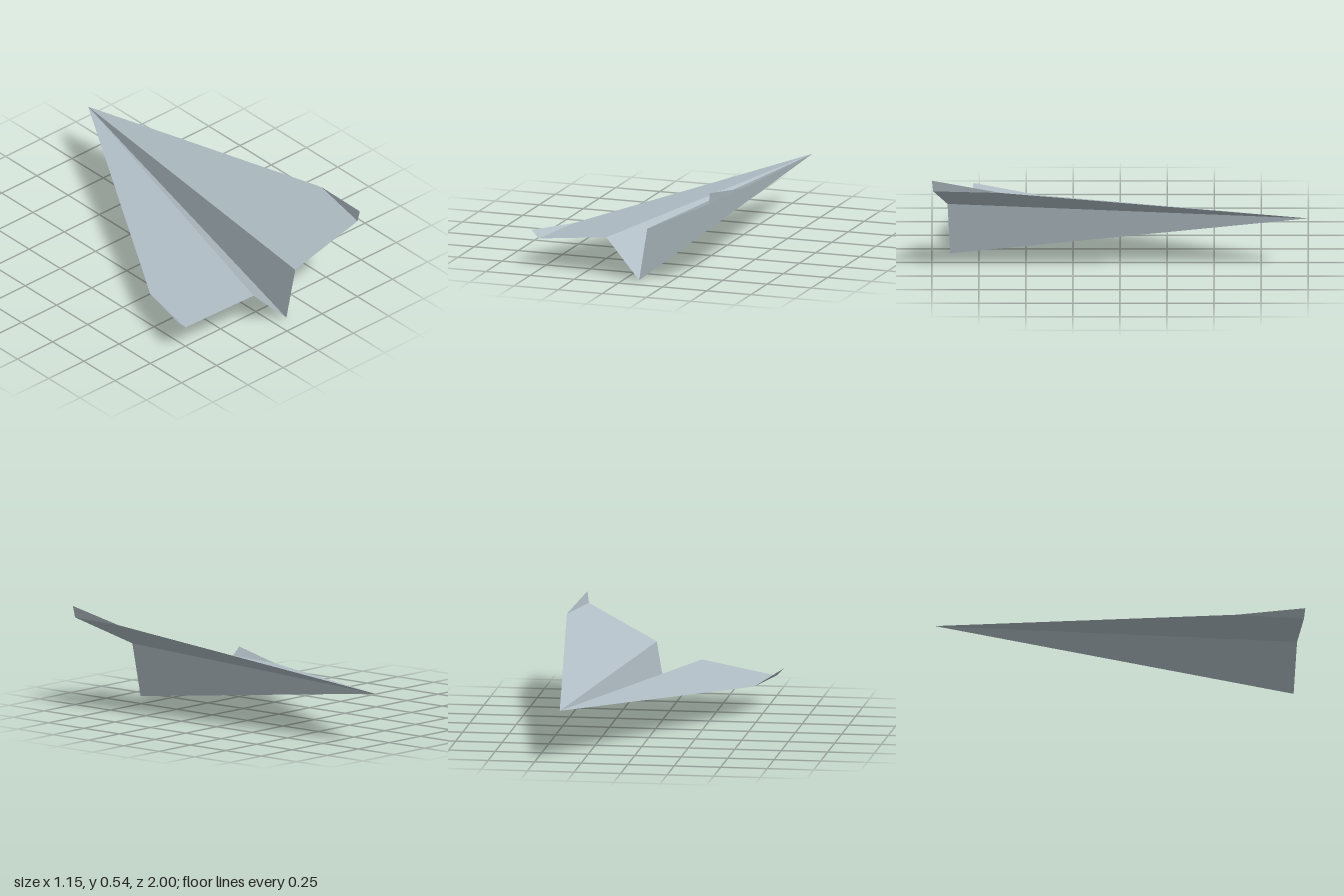
import * as THREE from 'three';

const paper = new THREE.MeshStandardMaterial({ color: 0xb0bec5, side: THREE.DoubleSide, flatShading: true });
paper.name = 'paper';

// Folded sheet panel: a fan of triangles around its first corner
function panel(name, ...corners) {
  const geometry = new THREE.BufferGeometry().setFromPoints(corners.map((c) => new THREE.Vector3(...c)));
  const index = [];
  for (let i = 1; i < corners.length - 1; i++) index.push(0, i, i + 1);
  geometry.setIndex(index);
  geometry.computeVertexNormals();
  const mesh = new THREE.Mesh(geometry, paper);
  mesh.name = name;
  return mesh;
}

export function createModel() {
  const plane = new THREE.Group();
  plane.name = 'paperPlane';

  // Shared fold corners
  const nose = [0.365, 0.28, -1];
  const keel = [0.082, 0, 0.903];

  const sides = [
    {
      side: 'left', fold: [0.133, 0.29, 0.917], back: [0.509, 0.473, 0.993],
      front: [0.573, 0.483, 0.63], top: [0.518, 0.535, 1],
    },
    {
      side: 'right', fold: [-0.118, 0.21, 0.865], back: [-0.53, 0.15, 0.785],
      front: [-0.465, 0.158, 0.43], top: [-0.573, 0.193, 0.78],
    },
  ];

  // Each half: keel wall, wing and upturned wing tip, wound to face up
  for (const { side, fold, back, front, top } of sides) {
    const wind = (points) => (side === 'left' ? points : points.reverse());
    plane.add(
      panel(`${side}KeelWall`, ...wind([nose, keel, fold])),
      panel(`${side}Wing`, ...wind([nose, fold, back, front])),
      panel(`${side}Winglet`, ...wind([front, back, top])),
    );
  }
  return plane;
}
